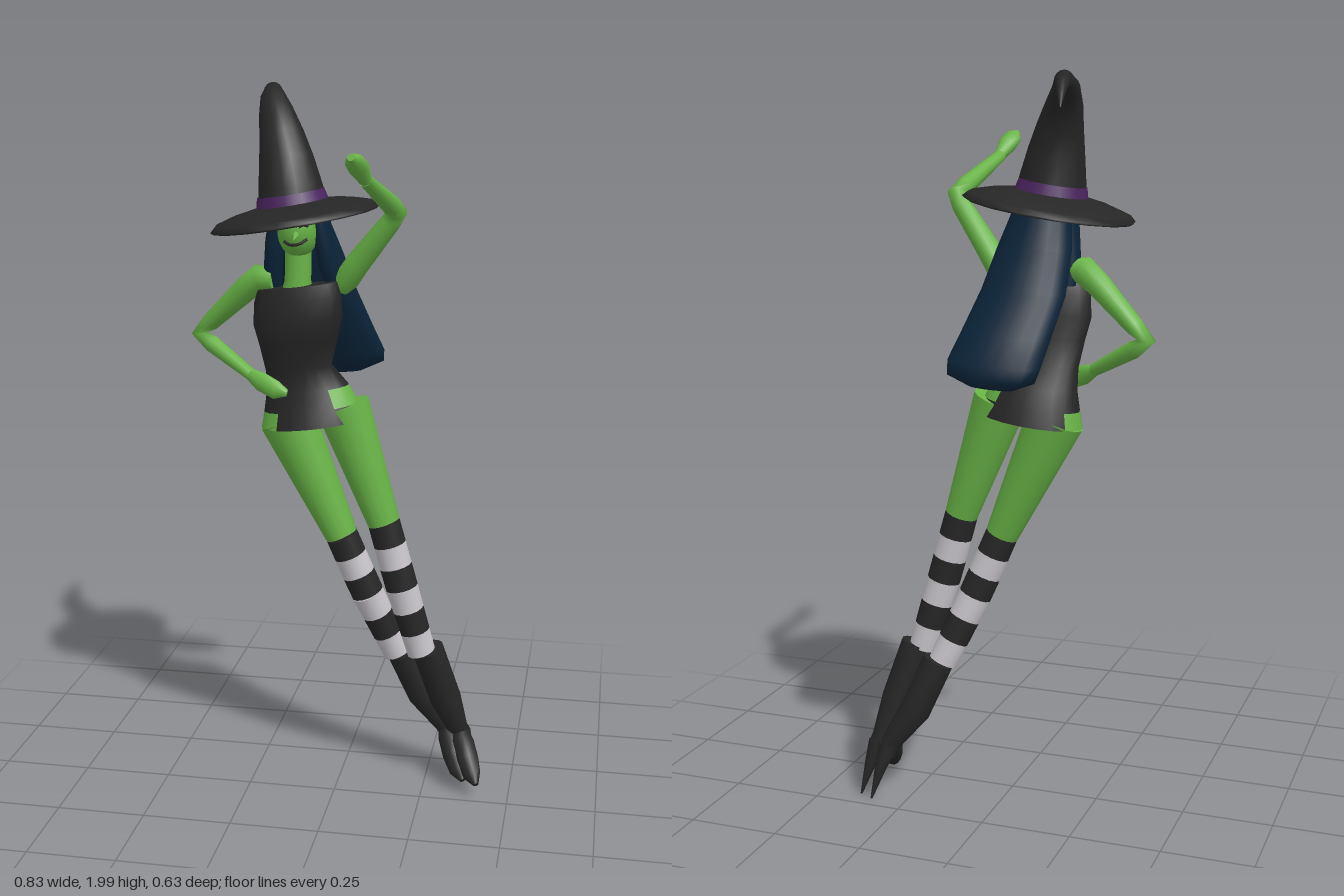
import * as THREE from 'three';

const material = (name, color) => new THREE.MeshStandardMaterial({ name, color });
const V = (x, y, z) => new THREE.Vector3(x, y, z);

// Closed tube through rings [x, y, z, ra, rb]. Rings lie across the path, or flat
// (bottom to top, tilted by slope). pick(ring, side) chooses a material index.
function loft(rings, { sides = 12, flat = false, slope = 0, pick = null } = {}) {
  const pos = [], faces = [[], []];
  const centres = rings.map((r) => V(r[0], r[1], r[2]));
  const point = (i, j) => {
    const [, , , ra, rb = ra] = rings[i];
    const a = (j / sides) * Math.PI * 2;
    let u = V(1, slope, 0), v = V(0, 0, 1);
    if (!flat) {
      const next = centres[Math.min(i + 1, rings.length - 1)];
      const t = next.clone().sub(centres[Math.max(i - 1, 0)]).normalize();
      u = t.clone().cross(v).normalize();
      v = u.clone().cross(t);
    }
    return centres[i].clone().addScaledVector(u, ra * Math.cos(a)).addScaledVector(v, rb * Math.sin(a));
  };
  const add = (p) => pos.push(p.x, p.y, p.z) / 3 - 1;
  const grid = rings.map((_, i) => Array.from({ length: sides }, (_, j) => add(point(i, j))));
  for (let i = 0; i < rings.length - 1; i++) {
    for (let j = 0; j < sides; j++) {
      const k = (j + 1) % sides;
      const [a, b, c, d] = [grid[i][j], grid[i][k], grid[i + 1][j], grid[i + 1][k]];
      faces[pick ? pick(i, j) : 0].push(a, c, b, b, c, d);
    }
  }
  // End caps have their own corners so the rims stay sharp
  for (const i of [0, rings.length - 1]) {
    const mid = add(centres[i]);
    const rim = Array.from({ length: sides }, (_, j) => add(point(i, j)));
    rim.forEach((p, j) => {
      const q = rim[(j + 1) % sides];
      faces[0].push(mid, ...(i === 0 ? [p, q] : [q, p]));
    });
  }
  const geo = new THREE.BufferGeometry();
  geo.setAttribute('position', new THREE.Float32BufferAttribute(pos, 3));
  geo.setIndex([...faces[0], ...faces[1]]);
  if (pick) {
    geo.addGroup(0, faces[0].length, 0);
    geo.addGroup(faces[0].length, faces[1].length, 1);
  }
  geo.computeVertexNormals();
  return geo;
}

export function createModel() {
  const skin = material('green skin', 0x68b346);
  const cloth = material('black cloth', 0x262626);
  const hairBlue = material('dark blue hair', 0x0b2439);
  const white = material('stocking white', 0xc9c5cb);
  const purple = material('purple band', 0x4b2460);

  const model = new THREE.Group();
  const add = (name, geo, mat, parent = model) => {
    const mesh = new THREE.Mesh(geo, mat);
    mesh.name = name;
    parent.add(mesh);
    return mesh;
  };

  // Torso with bare patches at both hips
  add('torso', loft([
    [-0.07, 1.09, -0.05, 0.143, 0.102],
    [-0.073, 1.135, -0.05, 0.132, 0.09],
    [-0.083, 1.185, -0.048, 0.115, 0.07],
    [-0.105, 1.245, -0.035, 0.092, 0.052],
    [-0.1, 1.32, -0.012, 0.108, 0.057],
    [-0.1, 1.38, -0.003, 0.122, 0.06],
    [-0.1, 1.44, 0, 0.119, 0.052],
    [-0.1, 1.475, 0.002, 0.108, 0.042],
  ], {
    sides: 20, flat: true, slope: 0.13,
    pick: (i, j) => (i === 1 && (j <= 2 || j >= 17)) || (i === 0 && j >= 7 && j <= 11) ? 1 : 0,
  }), [cloth, skin]);

  // Neck, head and face
  add('neck', loft([[-0.1, 1.45, 0, 0.045, 0.036], [-0.098, 1.49, 0, 0.036], [-0.096, 1.6, 0, 0.036]], { flat: true }), skin);
  const head = add('head', new THREE.SphereGeometry(1, 20, 14), skin);
  head.scale.set(0.057, 0.08, 0.065);
  head.position.set(-0.095, 1.63, 0.005);
  const nose = add('nose', new THREE.ConeGeometry(0.013, 0.045, 8), skin);
  nose.position.set(-0.09, 1.614, 0.077);
  nose.rotation.x = 1.9;
  const stroke = (name, pts, r) => {
    const path = pts.map(([x, y]) => {
      const dx = x / 0.057, dy = (y - 1.63) / 0.08;
      return V(x - 0.095, y, 0.006 + 0.065 * Math.sqrt(1 - dx * dx - dy * dy));
    });
    add(name, new THREE.TubeGeometry(new THREE.CatmullRomCurve3(path), 8, r, 6), cloth);
  };
  stroke('mouth', [[-0.027, 1.6], [-0.01, 1.591], [0.012, 1.593], [0.034, 1.606]], 0.0045);
  for (const s of [-1, 1]) {
    stroke('eye', [[s * 0.014, 1.638], [s * 0.025, 1.643], [s * 0.036, 1.64]], 0.0035);
  }

  // Long hair swept backwards, with a lock on each side of the face
  add('hair', loft([
    [-0.02, 1.2, -0.222, 0.06, 0.025],
    [-0.018, 1.225, -0.222, 0.12, 0.046],
    [-0.022, 1.26, -0.21, 0.127, 0.055],
    [-0.042, 1.33, -0.175, 0.122, 0.062],
    [-0.072, 1.44, -0.118, 0.115, 0.066],
    [-0.09, 1.55, -0.082, 0.1, 0.066],
    [-0.1, 1.63, -0.058, 0.082, 0.062],
    [-0.105, 1.71, -0.045, 0.07, 0.06],
  ], { sides: 18, flat: true, slope: 0.06 }), hairBlue);
  add('rightHairLock', loft([
    [-0.168, 1.45, -0.03, 0.018, 0.02], [-0.168, 1.52, -0.015, 0.026, 0.032],
    [-0.16, 1.6, -0.008, 0.026, 0.042], [-0.145, 1.69, -0.01, 0.024, 0.045],
  ], { flat: true }), hairBlue);
  add('leftHairLock', loft([
    [-0.005, 1.46, -0.045, 0.024, 0.025], [-0.018, 1.52, -0.025, 0.028, 0.034],
    [-0.033, 1.6, -0.012, 0.024, 0.042], [-0.05, 1.69, -0.01, 0.022, 0.045],
  ], { flat: true }), hairBlue);

  // Hat: wide tilted brim, band and bent cone
  const hat = new THREE.Group();
  hat.name = 'hat';
  hat.position.set(-0.113, 1.658, -0.03);
  hat.rotation.z = 0.165;
  model.add(hat);
  const brim = [[0, 0.012], [0.1, 0.01], [0.18, 0], [0.222, -0.014], [0.23, -0.008], [0.215, 0.006], [0.16, 0.022], [0.085, 0.035]];
  add('brim', new THREE.LatheGeometry(brim.map(([x, y]) => new THREE.Vector2(x, y)), 16), cloth, hat);
  const band = add('band', new THREE.CylinderGeometry(0.09, 0.098, 0.032, 24), purple, hat);
  band.position.y = 0.044;
  add('hatCone', loft([
    [-0.116, 1.68, -0.03, 0.094], [-0.123, 1.73, -0.032, 0.087],
    [-0.135, 1.8, -0.04, 0.074], [-0.15, 1.86, -0.057, 0.061],
    [-0.172, 1.92, -0.09, 0.047], [-0.19, 1.955, -0.135, 0.035],
    [-0.202, 1.972, -0.19, 0.025], [-0.212, 1.965, -0.24, 0.018],
    [-0.225, 1.94, -0.285, 0.011], [-0.233, 1.905, -0.315, 0.002],
  ], { sides: 16 }), cloth);

  // Right arm resting on the hip, left arm raised forwards
  add('rightArm', loft([
    [-0.165, 1.49, -0.01, 0.03], [-0.205, 1.49, -0.018, 0.038], [-0.25, 1.455, -0.032, 0.034],
    [-0.36, 1.355, -0.072, 0.025], [-0.393, 1.322, -0.078, 0.023],
    [-0.355, 1.295, -0.066, 0.024], [-0.23, 1.225, -0.005, 0.017],
  ]), skin);
  add('rightHand', loft([
    [-0.235, 1.227, -0.008, 0.016], [-0.2, 1.21, 0.008, 0.027, 0.018],
    [-0.155, 1.192, 0.025, 0.026, 0.016], [-0.125, 1.185, 0.025, 0.01],
  ]), skin);
  add('leftArm', loft([
    [0.012, 1.46, -0.035, 0.02], [0.028, 1.49, -0.03, 0.034], [0.06, 1.535, -0.018, 0.033],
    [0.152, 1.65, 0.018, 0.027], [0.172, 1.68, 0.035, 0.026],
    [0.163, 1.698, 0.068, 0.026], [0.12, 1.778, 0.235, 0.017],
  ]), skin);
  add('leftHand', loft([
    [0.122, 1.775, 0.23, 0.016], [0.11, 1.81, 0.268, 0.027, 0.02],
    [0.102, 1.828, 0.292, 0.024, 0.018], [0.098, 1.838, 0.31, 0.01],
  ]), skin);

  // Legs: bare thigh, six stocking bands, boot, foot and stiletto heel
  const legs = [
    { side: 'left', thigh: [0.015, 1.14, -0.05, 0.076], knee: [0.132, 0.81, -0.05, 0.046], shin: [0.178, 0.64, -0.055, 0.047],
      sock: [0.24, 0.42, -0.075, 0.041], boot: [0.258, 0.43, -0.075, 0.046], calf: [0.308, 0.27, -0.105, 0.046], shift: [0, 0, 0] },
    { side: 'right', thigh: [-0.14, 1.1, -0.05, 0.08], knee: [0.012, 0.765, -0.053, 0.046], shin: [0.075, 0.61, -0.07, 0.047],
      sock: [0.165, 0.4, -0.115, 0.041], boot: [0.178, 0.4, -0.118, 0.044], calf: [0.237, 0.26, -0.145, 0.044], shift: [-0.04, 0, -0.02] },
  ];
  const mix = (a, b, t) => a.map((n, i) => n + (b[i] - n) * t);
  for (const leg of legs) {
    const moved = (rings) => rings.map(([x, y, z, ...r]) => [x + leg.shift[0], y + leg.shift[1], z + leg.shift[2], ...r]);
    add(leg.side + 'Thigh', loft([leg.thigh, mix(leg.thigh, leg.knee, 0.5), leg.knee], { sides: 14 }), skin);
    const along = (t) => (t < 0.45 ? mix(leg.knee, leg.shin, t / 0.45) : mix(leg.shin, leg.sock, (t - 0.45) / 0.55));
    for (let i = 0; i < 6; i++) {
      add(leg.side + 'StockingBand', loft([along(i / 6), along((i + 1) / 6)], { sides: 14 }), i % 2 ? white : cloth);
    }
    const ankle = moved([[0.342, 0.165, -0.138, 0.03], [0.358, 0.125, -0.15, 0.027]]);
    add(leg.side + 'Boot', loft([leg.boot, leg.calf, ...ankle], { sides: 14 }), cloth);
    add(leg.side + 'Foot', loft(moved([
      [0.345, 0.155, -0.155, 0.022], [0.36, 0.13, -0.115, 0.033, 0.036], [0.378, 0.095, -0.075, 0.034, 0.03],
      [0.395, 0.065, -0.042, 0.028, 0.019], [0.41, 0.045, -0.018, 0.008],
    ])), cloth);
    add(leg.side + 'Heel', loft(moved([
      [0.352, 0.15, -0.15, 0.028], [0.367, 0.09, -0.172, 0.017], [0.387, 0.003, -0.193, 0.003],
    ]), { sides: 8 }), cloth);
  }
  return model;
}
